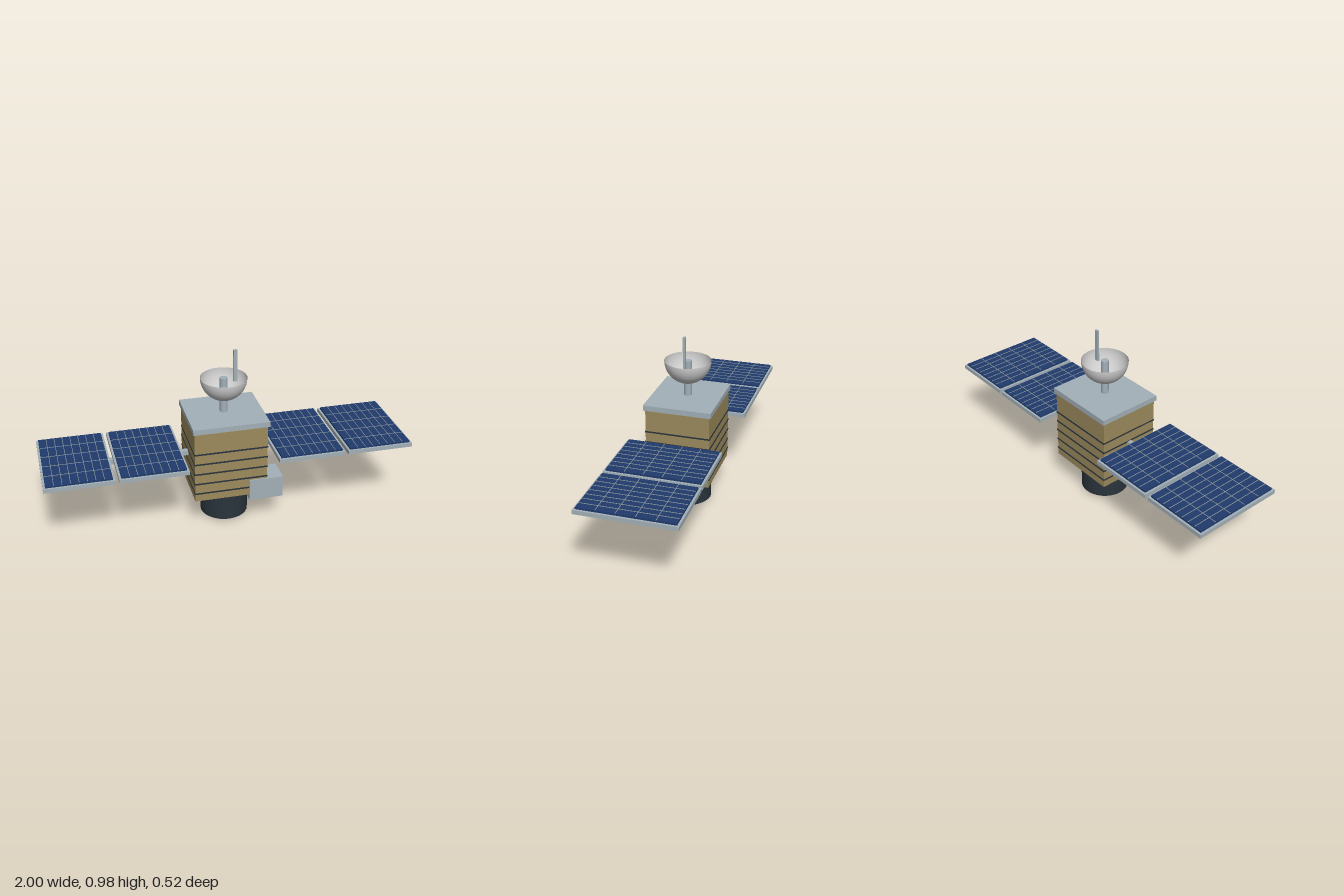
import * as THREE from 'three';

const mat = (color, extra = {}) => {
  const m = new THREE.MeshStandardMaterial(extra);
  m.color.set(color);
  return m;
};

export function createModel() {
  const model = new THREE.Group();
  model.name = 'satellite';

  const metal = mat(0xa3b0b8);
  const foil = mat(0x9c8a5c);
  const dark = mat(0x2a343c);
  const lensBlue = mat(0x10242e);
  const cellBlue = mat(0x1f3a6b);
  const gridLine = mat(0x8c979c);
  const dishGrey = mat(0xcccccc, { side: THREE.DoubleSide });

  const add = (parent, name, geometry, material, x = 0, y = 0, z = 0) => {
    const mesh = new THREE.Mesh(geometry, material);
    mesh.name = name;
    mesh.position.set(x, y, z);
    parent.add(mesh);
    return mesh;
  };
  // box given by its minimum and maximum on each axis
  const box = (parent, name, material, [x0, x1], [y0, y1], [z0, z1]) =>
    add(parent, name, new THREE.BoxGeometry(x1 - x0, y1 - y0, z1 - z0), material,
      (x0 + x1) / 2, (y0 + y1) / 2, (z0 + z1) / 2);
  const cylinder = (name, material, r, y0, y1) =>
    add(model, name, new THREE.CylinderGeometry(r, r, y1 - y0, 40), material, 0, (y0 + y1) / 2, 0);

  // foil-wrapped body with seams and roof plate
  box(model, 'body', foil, [-0.2, 0.2], [0.183, 0.595], [-0.175, 0.175]);
  for (let i = 0; i < 5; i++) {
    const y = 0.23 + i * 0.06;
    box(model, 'bodySeam', dark, [-0.202, 0.202], [y - 0.004, y + 0.004], [-0.178, 0.178]);
  }
  box(model, 'roofPlate', metal, [-0.208, 0.208], [0.595, 0.625], [-0.185, 0.185]);

  // instrument barrel and its lens below
  cylinder('instrumentBarrel', dark, 0.132, 0.012, 0.183);
  cylinder('lens', lensBlue, 0.115, 0, 0.02);

  // side equipment box
  box(model, 'equipmentBox', metal, [0.1, 0.29], [0.152, 0.276], [0.042, 0.183]);

  // dish on its mast, with the feed post inside
  cylinder('dishMast', metal, 0.021, 0.625, 0.822);
  const dish = new THREE.SphereGeometry(0.126, 48, 20, 0, Math.PI * 2, Math.PI / 2, Math.PI / 2);
  add(model, 'dish', dish, dishGrey, 0, 0.823, 0);
  box(model, 'antennaRod', metal, [0.053, 0.073], [0.795, 0.975], [-0.006, 0.006]);

  // solar wings: a boom and two panels on each side
  const makePanel = () => {
    const panel = new THREE.Group();
    panel.name = 'solarPanel';
    const w = 0.184, d = 0.26, cw = 0.172, cd = 0.248;
    box(panel, 'panelFrame', metal, [-w, w], [0.409, 0.431], [-d, d]);
    box(panel, 'solarCells', cellBlue, [-cw, cw], [0.431, 0.441], [-cd, cd]);
    for (let i = 1; i < 8; i++) {
      const x = -cw + (i * cw * 2) / 8;
      box(panel, 'cellLine', gridLine, [x - 0.0015, x + 0.0015], [0.44, 0.443], [-cd, cd]);
    }
    for (let i = 1; i < 5; i++) {
      const z = -cd + (i * cd * 2) / 5;
      box(panel, 'cellLine', gridLine, [-cw, cw], [0.44, 0.4428], [z - 0.0015, z + 0.0015]);
    }
    return panel;
  };
  for (const side of [1, -1]) {
    const wing = new THREE.Group();
    wing.name = side > 0 ? 'leftWing' : 'rightWing';
    const ends = side > 0 ? [0.19, 0.95] : [-0.95, -0.19];
    box(wing, 'wingBoom', metal, ends, [0.384, 0.411], [-0.014, 0.014]);
    for (const x of [0.429, 0.816]) {
      const panel = makePanel();
      panel.position.x = side * x;
      wing.add(panel);
    }
    model.add(wing);
  }

  return model;
}
